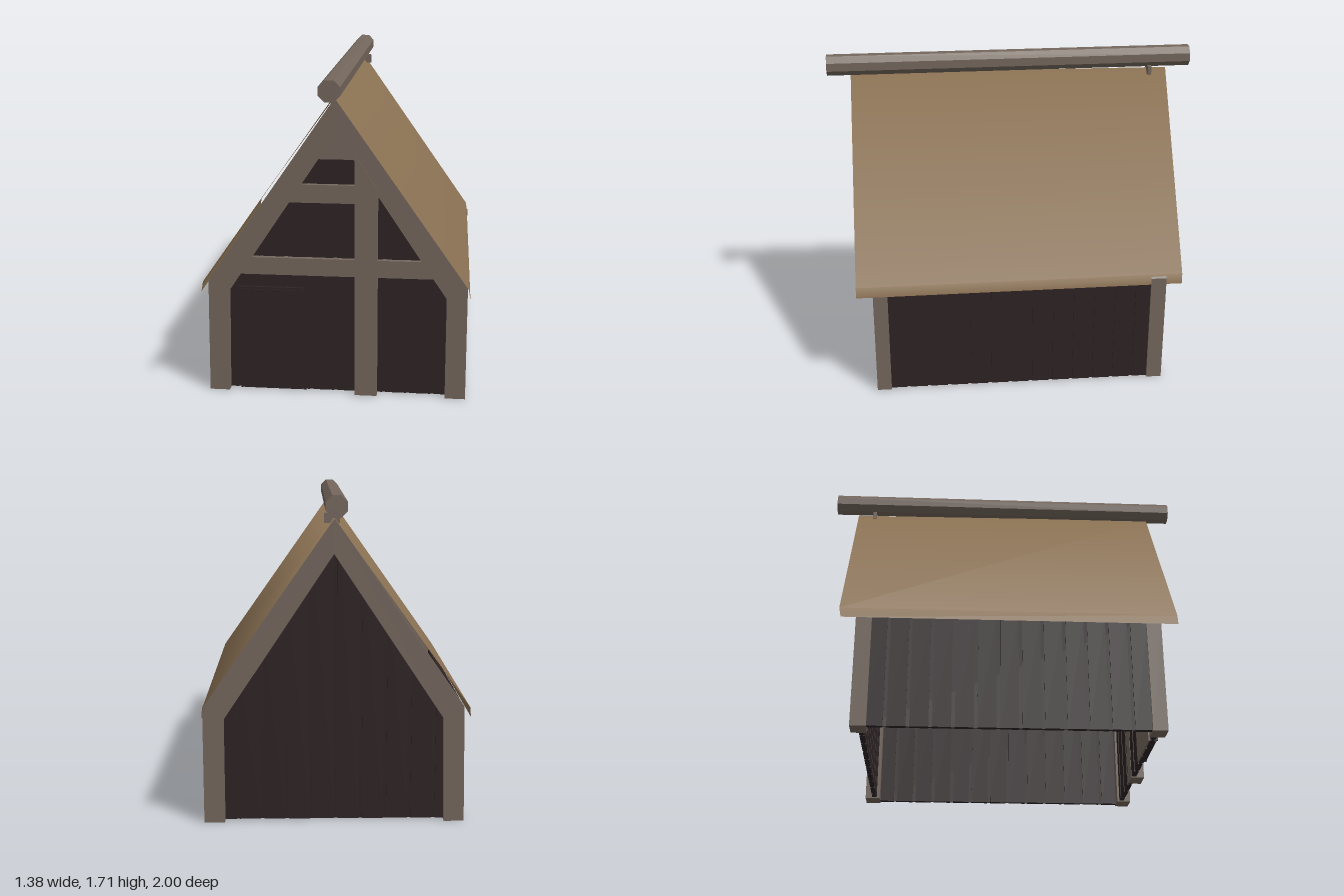
import * as THREE from 'three';

const timber = new THREE.MeshStandardMaterial({ color: 0x74675d });
timber.name = 'weathered timber';
const plank = new THREE.MeshStandardMaterial({ color: 0x2e2324 });
plank.name = 'dark planks';
const thatch = new THREE.MeshStandardMaterial({ color: 0x8f7556, side: THREE.DoubleSide });
thatch.name = 'roof tan';

const WALL_X = 0.655, WALL_Z = 0.735, GAP = 0.018;
const roofLine = (x) => Math.min(1.56 - Math.abs(x) * 1.43, 1.56); // underside of roof at x

function add(parent, name, geometry, material) {
  const mesh = new THREE.Mesh(geometry, material);
  mesh.name = name;
  parent.add(mesh);
  return mesh;
}

// box given by its limits on each axis
function block(parent, name, material, [x0, x1], [y0, y1], [z0, z1]) {
  const mesh = add(parent, name, new THREE.BoxGeometry(x1 - x0, y1 - y0, z1 - z0), material);
  mesh.position.set((x0 + x1) / 2, (y0 + y1) / 2, (z0 + z1) / 2);
  return mesh;
}

// polygon in the xy plane, extruded from z0 to z1
function slab(parent, name, material, points, z0, z1) {
  const shape = new THREE.Shape(points.map(([x, y]) => new THREE.Vector2(x, y)));
  const geometry = new THREE.ExtrudeGeometry(shape, { depth: z1 - z0, bevelEnabled: false });
  return add(parent, name, geometry.translate(0, 0, z0), material);
}

// plank outline whose top follows the roof slope
function gableStrip(x0, x1) {
  const points = [[x0, 0.005], [x1, 0.005], [x1, roofLine(x1)]];
  if (x0 < 0 && x1 > 0) points.push([0, roofLine(0)]);
  points.push([x0, roofLine(x0)]);
  return points;
}

// gable wall of vertical planks over a thin sheet
function gableWall(name, z) {
  const wall = new THREE.Group();
  wall.name = name;
  slab(wall, 'gableSheet', plank, gableStrip(-WALL_X, WALL_X), z - 0.006, z + 0.006);
  const step = 0.128, first = -0.01 - step * 5;
  for (let i = 0; i < 10; i++) {
    const x0 = Math.max(first + i * step + GAP / 2, -WALL_X);
    const x1 = Math.min(first + (i + 1) * step - GAP / 2, WALL_X);
    slab(wall, 'gablePlank', plank, gableStrip(x0, x1), z - 0.013, z + 0.013);
  }
  return wall;
}

// side wall of vertical planks
function sideWall(name, side) {
  const wall = new THREE.Group();
  wall.name = name;
  const x = side * WALL_X;
  block(wall, 'sideSheet', plank, [x - 0.006, x + 0.006], [0.005, 0.62], [-0.73, 0.73]);
  const step = 0.112, count = 13;
  for (let i = 0; i < count; i++) {
    const z = (i - (count - 1) / 2) * step;
    block(wall, 'sidePlank', plank, [x - 0.013, x + 0.013], [0.005, 0.62],
      [z - step / 2 + GAP / 2, z + step / 2 - GAP / 2]);
  }
  return wall;
}

// corner posts and rafters in one arched frame
function gableFrame(name, z0, z1) {
  return slab(new THREE.Group(), name, timber, [
    [-0.68, 0], [-0.575, 0], [-0.565, 0.555], [0, 1.405], [0.57, 0.55], [0.57, 0],
    [0.677, 0], [0.677, 0.615], [0, 1.59], [-0.672, 0.615],
  ], z0, z1);
}

// roof sheet: smooth across the ridge, with a short lip along each eave
function roofGeometry() {
  const front = [[-0.69, 0.58], [-0.68, 0.635], [0, 1.603], [0.68, 0.635], [0.69, 0.58]];
  const back = [[-0.695, 0.58], [-0.688, 0.635], [0, 1.59], [0.668, 0.635], [0.675, 0.58]];
  const normals = [[-0.99, 0.14], [-0.91, 0.41], [0, 1], [0.91, 0.41], [0.99, 0.14]];
  const position = [], normal = [], index = [];
  normals.forEach(([nx, ny], i) => {
    position.push(...front[i], 0.873, ...back[i], i === 0 ? -0.862 : -0.873);
    normal.push(nx, ny, 0, nx, ny, 0);
    if (i < 4) {
      const a = i * 2;
      index.push(a, a + 2, a + 1, a + 1, a + 2, a + 3);
    }
  });
  const geometry = new THREE.BufferGeometry();
  geometry.setAttribute('position', new THREE.Float32BufferAttribute(position, 3));
  geometry.setAttribute('normal', new THREE.Float32BufferAttribute(normal, 3));
  geometry.setIndex(index);
  return geometry;
}

export function createModel() {
  const house = new THREE.Group();
  house.name = 'timberHouse';

  // walls
  house.add(gableWall('frontWall', WALL_Z), gableWall('backWall', -WALL_Z));
  house.add(sideWall('leftWall', 1), sideWall('rightWall', -1));

  // gable frames
  house.add(gableFrame('frontFrame', 0.71, 0.787), gableFrame('backFrame', -0.787, -0.705));

  // front post, cross beams and the gusset under the ridge
  slab(house, 'frontPost', timber,
    [[0.095, 0], [0.212, 0], [0.212, 1.12], [0.095, 1.3]], 0.72, 0.792);
  slab(house, 'lowerBeam', timber,
    [[-0.52, 0.65], [0.52, 0.65], [0.46, 0.742], [-0.46, 0.742]], 0.73, 0.775);
  slab(house, 'upperBeam', timber,
    [[-0.27, 1.04], [0.12, 1.04], [0.12, 1.135], [-0.2, 1.135]], 0.73, 0.775);
  slab(house, 'ridgeGusset', timber,
    [[-0.11, 1.27], [0.11, 1.27], [0, 1.43]], 0.73, 0.78);

  // door: panel, thin surround and lighter inner face
  const door = new THREE.Group();
  door.name = 'door';
  block(door, 'doorPanel', plank, [-0.502, -0.182], [0.005, 0.56], [0.73, 0.757]);
  block(door, 'doorHead', plank, [-0.518, -0.166], [0.564, 0.576], [0.73, 0.762]);
  for (const x of [-0.512, -0.172])
    block(door, 'doorJamb', plank, [x - 0.006, x + 0.006], [0.005, 0.57], [0.73, 0.762]);
  block(door, 'doorInnerFace', timber, [-0.518, -0.166], [0.005, 0.576], [0.714, 0.722]);
  house.add(door);

  // roof, ridge pole and its peg
  add(house, 'roof', roofGeometry(), thatch);
  const poleMaterial = timber.clone();
  poleMaterial.flatShading = true;
  const pole = new THREE.CylinderGeometry(0.058, 0.058, 2, 8).toNonIndexed();
  pole.computeVertexNormals();
  pole.rotateY(Math.PI / 8).rotateX(Math.PI / 2);
  const ridgePole = add(house, 'ridgePole', pole, timber);
  ridgePole.position.set(-0.008, 1.652, 0);
  ridgePole.rotation.x = 0.004;
  block(house, 'ridgePeg', timber, [-0.03, 0.05], [1.56, 1.61], [-0.785, -0.765]);

  return house;
}
